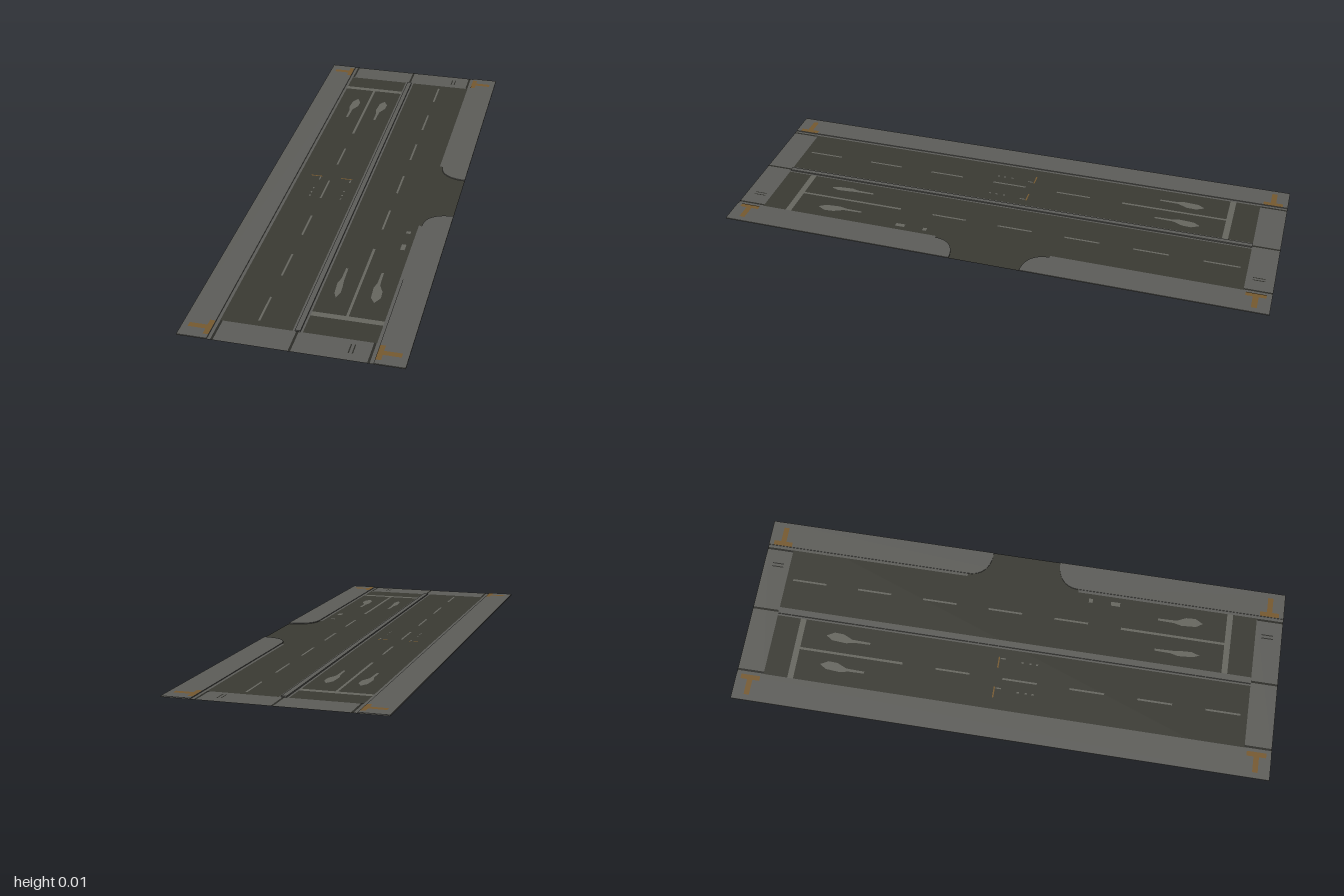
import * as THREE from 'three';

const mat = (name, color, side = THREE.FrontSide) => {
  const m = new THREE.MeshStandardMaterial({ color, side });
  m.name = name;
  return m;
};

export function createModel() {
  const group = new THREE.Group();
  const asphalt = mat('asphalt', 0x3a3a33, THREE.DoubleSide);
  const concrete = mat('concrete', 0x5d5d59);
  const paint = mat('roadPaint', 0x66665f);
  const seam = mat('darkSeam', 0x2c2c28);
  const tactile = mat('tactileOrange', 0x76592f);

  const W = 0.367, CURB = 0.267, GUTTER = 0.256, END = 0.9;
  const ROAD = 0.0006, MARK = 0.0014, DETAIL = 0.0022, WALK = 0.004;

  const add = (name, geometry, material) => {
    const mesh = new THREE.Mesh(geometry, material);
    mesh.name = name;
    group.add(mesh);
    return mesh;
  };
  // Flat outline in plan, given as x, z
  const flat = (name, points, y, material) => {
    const shape = new THREE.Shape(points.map(([x, z]) => new THREE.Vector2(x, -z)));
    return add(name, new THREE.ShapeGeometry(shape).rotateX(-Math.PI / 2).translate(0, y, 0), material);
  };
  const rect = (name, x0, x1, z0, z1, y, material) =>
    flat(name, [[x0, z0], [x1, z0], [x1, z1], [x0, z1]], y, material);
  const slab = (name, shape, height) =>
    add(name, new THREE.ExtrudeGeometry(shape, { depth: height, bevelEnabled: false, curveSegments: 10 })
      .rotateX(-Math.PI / 2), concrete);

  // Road surface
  rect('road', -W, W, -1, 1, ROAD, asphalt);

  // Unbroken pavement on the right-hand side
  const walk = new THREE.Shape();
  walk.moveTo(-W, -1).lineTo(-CURB, -1).lineTo(-CURB, 1).lineTo(-W, 1).closePath();
  slab('rightSidewalk', walk, WALK);
  rect('rightGutter', -CURB, -GUTTER, -1, 1, MARK, concrete);

  // Pavement split by a side entrance with rounded corners
  for (const s of [-1, 1]) {
    const half = new THREE.Shape();
    half.moveTo(W, s).lineTo(CURB, s).lineTo(CURB, s * 0.215);
    half.bezierCurveTo(CURB, s * 0.165, 0.3, s * 0.13, W, s * 0.13);
    half.closePath();
    slab('leftSidewalk', half, WALK);
    rect('leftGutter', GUTTER, CURB, s < 0 ? -1 : 0.215, s < 0 ? -0.215 : 1, MARK, concrete);
  }

  // Raised central divider on a flat base
  rect('medianBase', -0.017, 0.017, -END, END, MARK, concrete);
  add('median', new THREE.BoxGeometry(0.018, 0.006, 2 * END).translate(0, 0.003, 0), concrete);

  // Crossing bands with dark seams, and tactile paving at the corners
  for (const s of [-1, 1]) {
    const z0 = s < 0 ? -1 : END, z1 = s < 0 ? -END : 1;
    rect('crossing', -GUTTER, GUTTER, z0, z1, MARK, concrete);
    for (const x of [-0.251, 0, 0.251])
      rect('crossingSeam', x - 0.004, x + 0.004, z0, z1, DETAIL, seam);
    for (const x of [0.18, 0.193])
      rect('crossingScuff', x - 0.002, x + 0.002, s * 0.945 - 0.022, s * 0.945 + 0.022, DETAIL, seam);
    for (const side of [-1, 1]) {
      const bar = (a, b, c, d) => rect('tactilePaving', Math.min(side * a, side * b),
        Math.max(side * a, side * b), s * 0.945 + c, s * 0.945 + d, WALK + 0.0008, tactile);
      bar(0.268, 0.286, -0.036, 0.036);
      bar(0.286, 0.345, -0.01, 0.01);
    }
  }

  // Lane markings: each carriageway is the other one turned half round
  for (const s of [-1, 1]) {
    const mark = (name, x0, x1, z0, z1) => flat(name,
      [[x0, z0], [x1, z0], [x1, z1], [x0, z1]].map(([x, z]) => [s * x, s * z]), MARK, paint);
    mark('stopLine', 0.017, GUTTER, 0.788, 0.81);
    mark('solidLaneLine', 0.129, 0.138, 0.395, 0.788);
    for (let i = 0; i < 5; i++) {
      const z = 0.14 - i * 0.2535;
      mark('laneDash', 0.131, 0.138, z, z + 0.13);
    }
  }

  // Lane arrows: slim stem with a leaf-shaped head, optionally leaning sideways
  const arrow = (x, s, lean) => flat('laneArrow', [
    [-0.004, 0.53], [0.004, 0.53], [0.006, 0.6], [0.014 + lean, 0.635], [0.016 + lean, 0.67],
    [0.004 + lean / 2, 0.7], [-0.008, 0.675], [-0.012, 0.62], [-0.005, 0.59],
  ].map(([px, pz]) => [x + px, s * pz]), MARK, paint);
  arrow(-0.192, -1, 0.008);
  arrow(-0.076, -1, 0.008);
  arrow(0.07, 1, -0.004);
  arrow(0.193, 1, 0.008);

  // Small worn lane symbols
  for (const x of [-0.19, -0.072]) {
    rect('laneSymbolTop', x - 0.022, x + 0.022, -0.043, -0.038, MARK, tactile);
    rect('laneSymbolSide', x + 0.014, x + 0.019, -0.035, -0.015, MARK, paint);
    for (const z of [0.045, 0.075, 0.1])
      rect('laneSymbolDot', x + 0.008, x + 0.014, z, z + 0.008, MARK, paint);
  }

  // Drain covers beside the kerb
  rect('drainCover', 0.221, 0.237, 0.26, 0.275, MARK, paint);
  rect('drainCover', 0.221, 0.237, 0.345, 0.38, MARK, paint);

  return group;
}
